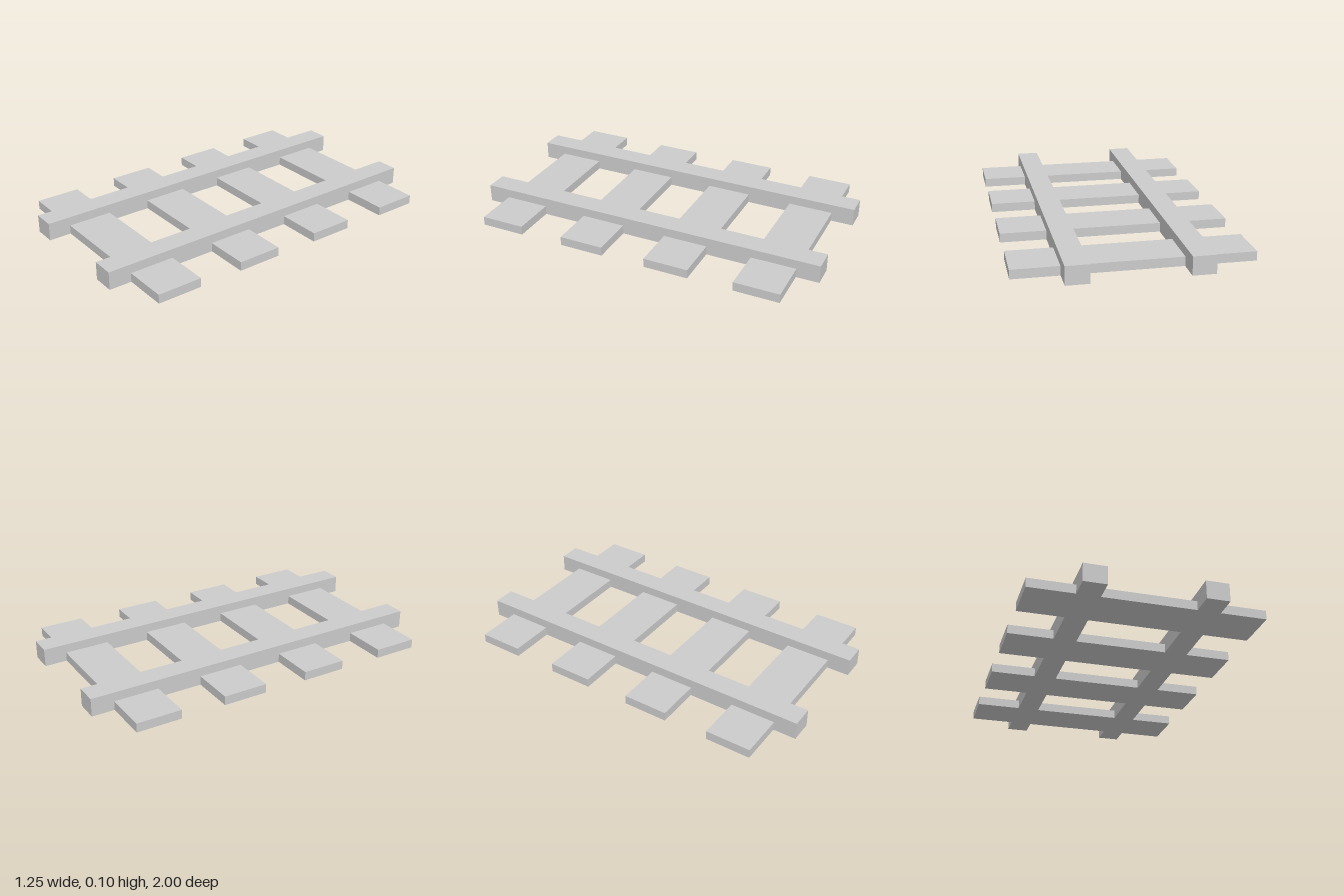
import * as THREE from 'three';

export function createModel() {
  const track = new THREE.Group();
  track.name = 'railTrack';
  const material = new THREE.MeshStandardMaterial({ color: 0xcccccc, flatShading: true });

  // Box resting on the ground
  function addBeam(name, width, height, depth, x, z) {
    const mesh = new THREE.Mesh(new THREE.BoxGeometry(width, height, depth), material);
    mesh.name = name;
    mesh.position.set(x, height / 2, z);
    track.add(mesh);
  }

  // Two long rails, running front to back
  addBeam('leftRail', 0.124, 0.1, 2, 0.312, 0);
  addBeam('rightRail', 0.124, 0.1, 2, -0.312, 0);

  // Four flat sleepers across the rails
  for (let i = 0; i < 4; i++) {
    addBeam(`sleeper${i + 1}`, 1.246, 0.05, 0.25, 0, -0.75 + i * 0.5);
  }

  return track;
}
